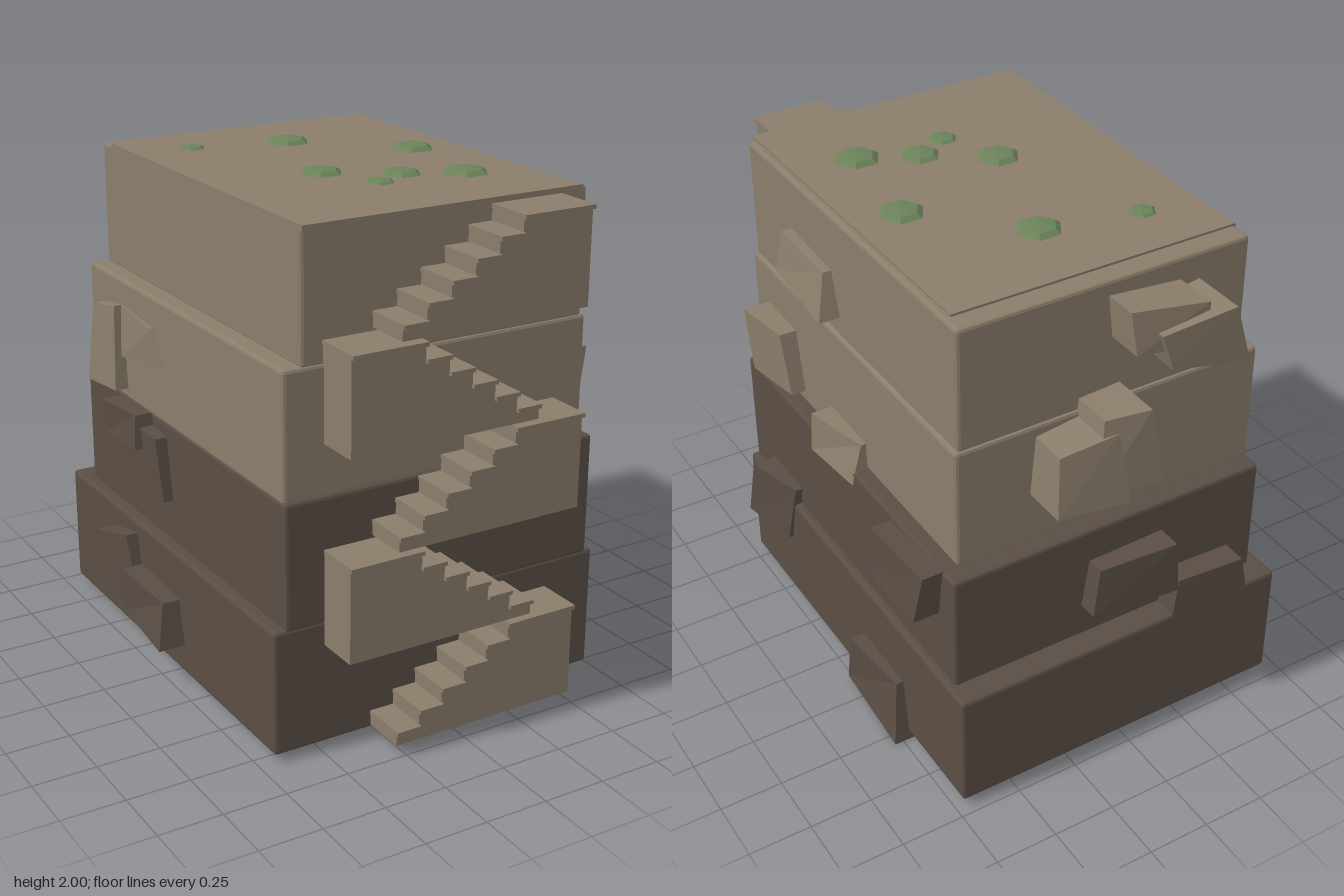
import * as THREE from 'three';
import { RoundedBoxGeometry } from 'three/addons/geometries/RoundedBoxGeometry.js';

export function createModel() {
  const model = new THREE.Group();
  const lightStone = new THREE.MeshStandardMaterial({ color: 0x8b7d6b });
  lightStone.name = 'light stone';
  const darkStone = new THREE.MeshStandardMaterial({ color: 0x5a4e45 });
  darkStone.name = 'dark stone';
  const moss = new THREE.MeshStandardMaterial({ color: 0x6b8259 });
  moss.name = 'moss green';

  const add = (name, geometry, material, parent = model) => {
    const mesh = new THREE.Mesh(geometry, material);
    mesh.name = name;
    parent.add(mesh);
    return mesh;
  };

  // Box given by its extents, optionally with chamfered edges
  const block = (name, [x0, x1], [y0, y1], [z0, z1], material, parent, chamfer = 0) => {
    const size = [x1 - x0, y1 - y0, z1 - z0];
    let geometry;
    if (chamfer) {
      geometry = new RoundedBoxGeometry(...size, 1, chamfer);
      geometry.computeVertexNormals();
    } else geometry = new THREE.BoxGeometry(...size);
    geometry.translate((x0 + x1) / 2, (y0 + y1) / 2, (z0 + z1) / 2);
    return add(name, geometry, material, parent);
  };

  // Stacked cliff tiers, each a little smaller than the one below
  const tiers = [
    [[-0.69, 0.72], [0.03, 0.52], [-0.96, 0.81], darkStone],
    [[-0.64, 0.69], [0.51, 1.0], [-0.86, 0.81], darkStone],
    [[-0.645, 0.63], [0.995, 1.485], [-0.78, 0.807], lightStone],
    [[-0.57, 0.615], [1.475, 1.967], [-0.77, 0.8], lightStone],
  ];
  tiers.forEach(([x, y, z, material], i) =>
    block('cliffTier' + (i + 1), x, y, z, material, model, 0.013));
  block('topSlab', [-0.57, 0.587], [1.955, 1.976], [-0.687, 0.812], lightStone, model);

  // Zigzag stairs: five flights, alternately climbing right and left
  const stepWidth = 0.097, rise = 0.0625;
  for (let f = 0; f < 5; f++) {
    const flight = new THREE.Group();
    flight.name = 'stairFlight' + (f + 1);
    model.add(flight);
    const base = 0.04 + 0.385 * f;
    const dir = f % 2 ? -1 : 1;
    const span = (a, b) => {
      const p = 0.005 + dir * a, q = 0.005 + dir * b;
      return [Math.min(p, q), Math.max(p, q)];
    };
    for (let i = 0; i < 6; i++) {
      const a = (i - 3) * stepWidth, b = a + stepWidth;
      const top = base + rise * (i + 1) - 0.002;
      block('step', span(a, b), [base, top - 0.015], [0.78, 0.985], lightStone, flight);
      // the last tread also covers the landing
      const end = i === 5 ? 0.492 : b + 0.002;
      block('tread', span(a - 0.003, end), [top - 0.016, top], [0.78, 1.0], lightStone, flight);
    }
    block('landing', span(3 * stepWidth, 0.489), [base, base + 6 * rise - 0.017],
      [0.78, 0.985], lightStone, flight);
  }

  // Skewed rock: four outer corners (across, height, outward distance),
  // ordered top-left, top-right, bottom-left, bottom-right as seen from its side
  const rock = (corners, material, turn, name) => {
    const geometry = new THREE.BoxGeometry(1, 1, 1);
    const p = geometry.attributes.position;
    for (let i = 0; i < p.count; i++) {
      const c = (p.getY(i) > 0 ? 0 : 2) + (p.getX(i) > 0 ? 1 : 0);
      const [u, v, out] = corners.slice(c * 3, c * 3 + 3);
      p.setXYZ(i, u, v, p.getZ(i) > 0 ? out : out - 0.25);
    }
    const flat = geometry.toNonIndexed();
    flat.computeVertexNormals();
    add(name, flat, material).rotation.y = turn;
  };

  const rightRocks = [
    [-0.45, 1.755, 0.66, -0.13, 1.735, 0.65, -0.455, 1.59, 0.69, -0.08, 1.56, 0.70],
    [-0.69, 1.31, 0.74, -0.45, 1.305, 0.70, -0.66, 1.045, 0.73, -0.40, 1.05, 0.69],
    [-0.16, 1.12, 0.72, 0.11, 1.11, 0.65, -0.16, 0.955, 0.73, 0.12, 0.95, 0.70],
    [0.40, 0.97, 0.77, 0.78, 1.0, 0.77, 0.38, 0.75, 0.78, 0.75, 0.79, 0.795],
    [-0.62, 0.61, 0.79, -0.37, 0.605, 0.72, -0.68, 0.34, 0.80, -0.43, 0.33, 0.74],
    [0.19, 0.27, 0.78, 0.51, 0.27, 0.75, 0.13, 0.015, 0.77, 0.55, 0.0, 0.785],
  ];
  const leftRocks = [
    [-0.28, 0.35, 0.78, 0.05, 0.33, 0.76, -0.29, 0.16, 0.77, 0.09, 0.15, 0.80],
    [-0.52, 0.43, 0.78, -0.32, 0.47, 0.74, -0.50, 0.15, 0.77, -0.25, 0.18, 0.72],
    [-0.42, 0.97, 0.71, -0.12, 0.94, 0.69, -0.40, 0.72, 0.70, -0.08, 0.69, 0.68],
    [-0.52, 0.99, 0.73, -0.25, 1.0, 0.71, -0.50, 0.86, 0.72, -0.22, 0.87, 0.73],
    [-0.66, 1.35, 0.69, -0.48, 1.38, 0.68, -0.67, 1.03, 0.72, -0.45, 1.04, 0.70],
    [-0.48, 1.38, 0.65, -0.2, 1.36, 0.66, -0.45, 1.18, 0.67, -0.1, 1.22, 0.65],
  ];
  const backRocks = [
    [0.08, 1.81, 0.95, 0.36, 1.86, 0.99, 0.14, 1.65, 0.94, 0.46, 1.59, 0.96],
    [-0.02, 1.91, 0.90, 0.28, 1.88, 0.94, 0.0, 1.74, 0.92, 0.29, 1.71, 0.93],
    [-0.13, 1.53, 0.93, 0.04, 1.54, 0.97, -0.16, 1.24, 0.95, 0.10, 1.22, 0.98],
    [-0.31, 1.44, 0.93, -0.08, 1.47, 0.95, -0.33, 1.20, 0.96, -0.04, 1.18, 0.98],
    [-0.12, 0.86, 0.93, 0.20, 0.87, 0.96, -0.15, 0.66, 0.94, 0.22, 0.64, 0.96],
    [0.23, 0.67, 0.95, 0.52, 0.66, 0.96, 0.20, 0.49, 0.96, 0.55, 0.48, 0.97],
  ];
  const sides = [
    ['rightRock', rightRocks, Math.PI / 2],
    ['leftRock', leftRocks, -Math.PI / 2],
    ['backRock', backRocks, Math.PI],
  ];
  // rocks take the colour of the tier they stand out from
  for (const [name, rocks, turn] of sides)
    for (const r of rocks) rock(r, r[1] > 1.05 ? lightStone : darkStone, turn, name);

  // Flat six-sided moss tufts on the summit: x, z, radius
  const tufts = [
    [-0.34, -0.445, 0.06], [0.04, -0.36, 0.095], [0.395, -0.01, 0.095],
    [-0.125, 0.18, 0.09], [0.12, 0.34, 0.084], [-0.02, 0.415, 0.063], [0.335, 0.44, 0.097],
  ];
  for (const [x, z, r] of tufts) {
    const dome = new THREE.SphereGeometry(r, 6, 4).scale(1, 0.3, 1).toNonIndexed();
    dome.computeVertexNormals();
    add('mossTuft', dome, moss).position.set(x, 1.972, z);
  }
  return model;
}
